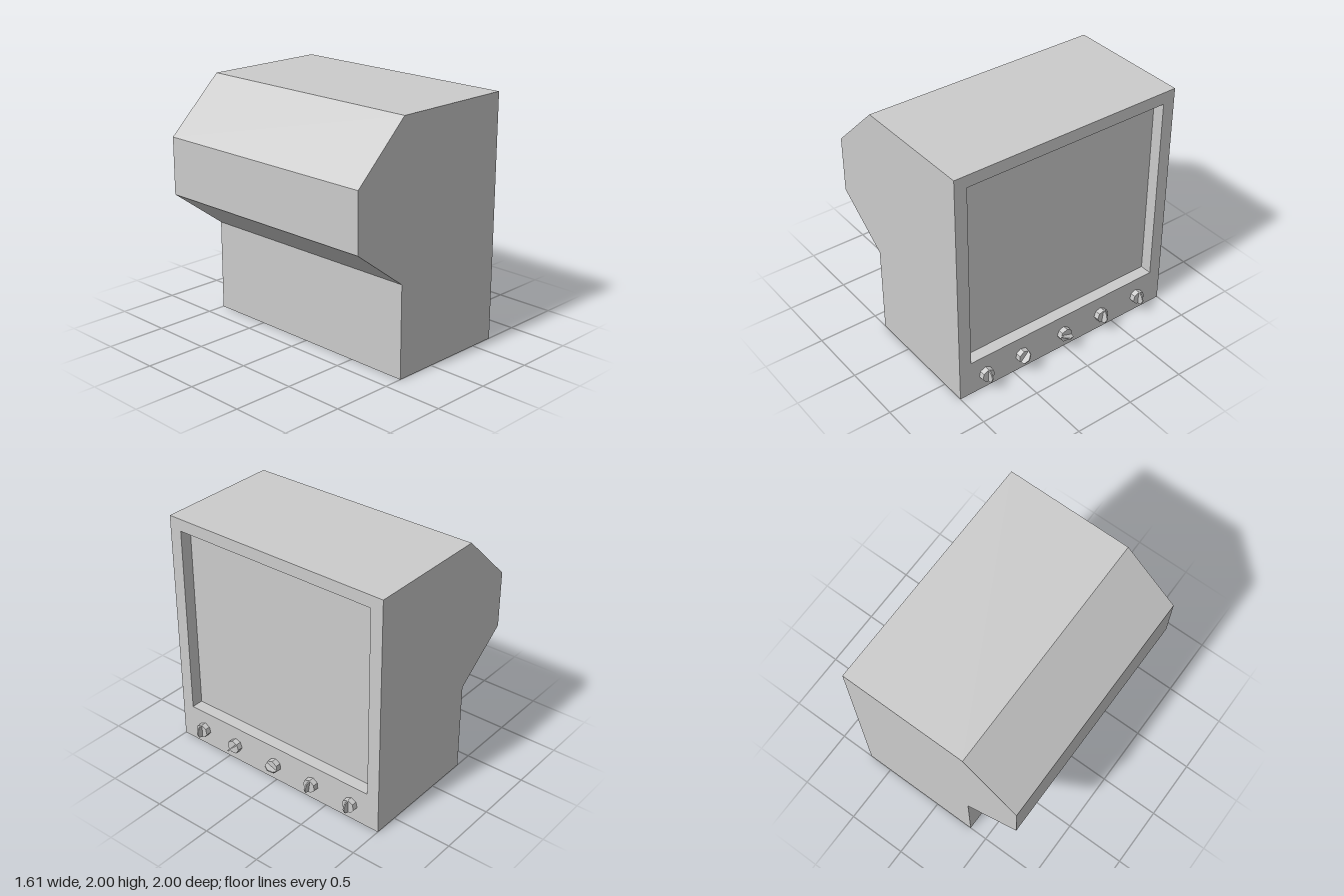
import * as THREE from 'three';
import { mergeGeometries } from 'three/addons/utils/BufferGeometryUtils.js';

const FRONT = 0.705;   // x of the bezel
const SCREEN = 0.605;  // x of the recessed screen
const WIN = { z: 0.895, y0: 0.305, y1: 1.9 };

const grey = () => new THREE.MeshStandardMaterial({ color: 0xcccccc, flatShading: true });

// Flat quad, corners counter-clockwise seen from its front
function quad(a, b, c, d) {
  const g = new THREE.BufferGeometry();
  g.setAttribute('position', new THREE.Float32BufferAttribute([a, b, c, a, c, d].flat(), 3));
  g.computeVertexNormals();
  return g;
}

// Keep only position and normal so the pieces can be merged
function plain(geometry) {
  const g = geometry.toNonIndexed();
  g.deleteAttribute('uv');
  return g;
}

function cabinetGeometry() {
  // Side outline from the front bottom corner, counter-clockwise seen from +z
  const outline = [[FRONT, 0], [FRONT, 2], [-0.345, 2], [-0.805, 1.56],
    [-0.805, 1.09], [-0.345, 0.75], [-0.345, 0]];
  const parts = [];

  // Two side panels
  const side = new THREE.Shape(outline.map(([x, y]) => new THREE.Vector2(x, y)));
  parts.push(plain(new THREE.ShapeGeometry(side).translate(0, 0, 1)));
  const flipped = new THREE.Shape(outline.map(([x, y]) => new THREE.Vector2(-x, y)));
  parts.push(plain(new THREE.ShapeGeometry(flipped).rotateY(Math.PI).translate(0, 0, -1)));

  // Top, back and bottom walls; the front edge is left to the bezel
  for (let i = 1; i < outline.length; i++) {
    const p = outline[i], q = outline[(i + 1) % outline.length];
    parts.push(quad([...p, 1], [...p, -1], [...q, -1], [...q, 1]));
  }

  // Bezel with the screen opening
  const { z, y0, y1 } = WIN;
  const rect = (w, a, b) => [[-w, a], [w, a], [w, b], [-w, b]].map(([x, y]) => new THREE.Vector2(x, y));
  const bezel = new THREE.Shape(rect(1, 0, 2));
  bezel.holes.push(new THREE.Path(rect(z, y0, y1)));
  parts.push(plain(new THREE.ShapeGeometry(bezel).rotateY(Math.PI / 2).translate(FRONT, 0, 0)));

  // Inner walls of the opening
  const loop = [[y0, z], [y0, -z], [y1, -z], [y1, z]];
  loop.forEach((p, i) => {
    const q = loop[(i + 1) % 4];
    parts.push(quad([FRONT, ...p], [FRONT, ...q], [SCREEN, ...q], [SCREEN, ...p]));
  });
  return mergeGeometries(parts);
}

// Seven-sided dial with a thin rounded grip, pointing along +x
function makeKnob(z, turn) {
  const knob = new THREE.Group();
  knob.name = 'knob';
  const r = 0.057, h = 0.045;
  const dial = new THREE.Mesh(
    new THREE.CylinderGeometry(r, r, h, 7).rotateZ(-Math.PI / 2).rotateX(-Math.PI / 2).translate(h / 2, 0, 0),
    grey());
  dial.name = 'knobDial';

  const profile = [[h, -0.054], [0.079, -0.043], [0.098, 0], [0.079, 0.043], [h, 0.056]];
  const shape = new THREE.Shape(profile.map(([x, y]) => new THREE.Vector2(x, y)));
  const grip = new THREE.Mesh(
    new THREE.ExtrudeGeometry(shape, { depth: 0.01, bevelEnabled: false }).translate(0, 0, -0.005),
    grey());
  grip.name = 'knobGrip';

  knob.add(dial, grip);
  knob.position.set(FRONT, 0.143, z);
  knob.rotation.x = -THREE.MathUtils.degToRad(turn);
  return knob;
}

export function createModel() {
  const model = new THREE.Group();
  model.name = 'monitor';

  const cabinet = new THREE.Mesh(cabinetGeometry(), grey());
  cabinet.name = 'cabinet';

  // Flat screen at the back of the recess
  const screen = new THREE.Mesh(
    new THREE.PlaneGeometry(WIN.z * 2, WIN.y1 - WIN.y0).rotateY(Math.PI / 2), grey());
  screen.position.set(SCREEN, (WIN.y0 + WIN.y1) / 2, 0);
  screen.name = 'screen';
  model.add(cabinet, screen);

  // Row of control knobs, each turned differently
  const knobs = [[0.765, 0], [0.42, 43], [0.01, 109], [-0.367, 8], [-0.747, 0]];
  for (const [z, turn] of knobs) model.add(makeKnob(z, turn));
  return model;
}
